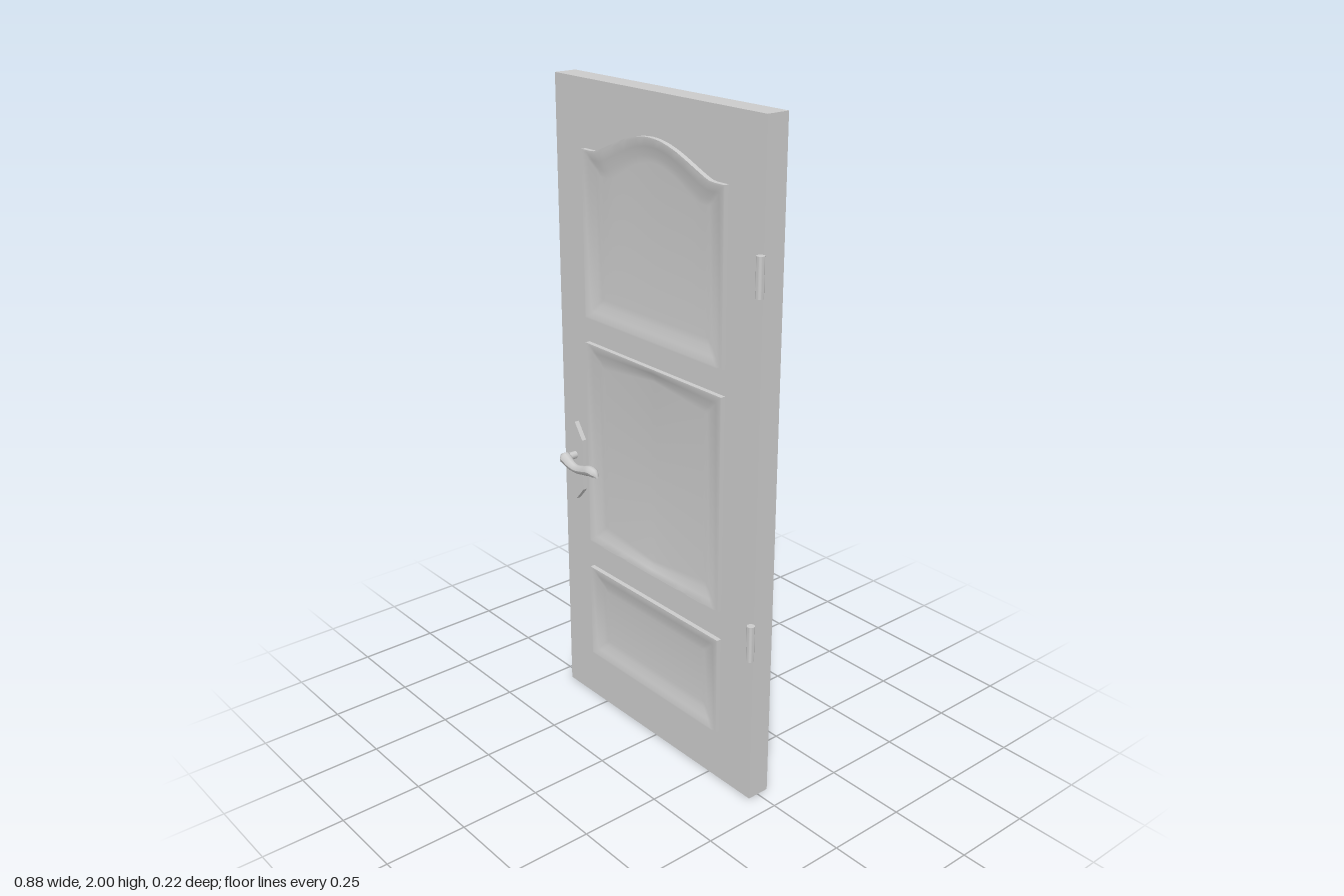
import * as THREE from 'three';
import { toCreasedNormals } from 'three/addons/utils/BufferGeometryUtils.js';

const MID_Z = -0.002;          // middle plane of the door
const HALF_T = 0.036;          // half thickness of the slab
const material = new THREE.MeshStandardMaterial({ color: 0xcccccc });

function part(name, geometry, x = 0, y = 0, z = 0) {
  const mesh = new THREE.Mesh(geometry, material);
  mesh.name = name;
  mesh.position.set(x, y, z);
  return mesh;
}

// Raised moulding with a sloped border sinking to a flat field.
// rise(x) lifts the top edge; pinch narrows the border towards the middle.
function panelGeometry(bottom, top, rise, pinch) {
  const N = 32, halfW = 0.3;
  // [inset, height] from the outer wall to the field
  const profile = [[0, HALF_T - 0.004], [0, 0.051], [0.006, 0.051], [0.026, 0.046], [0.05, 0.0395], [0.07, 0.0375]];
  const count = 2 * N + 2;
  const pos = [], index = [];
  for (const [inset, z] of profile) {
    for (let j = 0; j < count; j++) {
      const isTop = j > N;
      const u = (isTop ? count - 1 - j : j) / N * 2 - 1;
      const x = u * (halfW - inset);
      const dy = inset * (1 - pinch * (1 - Math.abs(u)));
      pos.push(x, isTop ? top + rise(u * halfW) - dy : bottom + dy, z);
    }
  }
  for (let k = 0; k < profile.length - 1; k++) {
    for (let j = 0; j < count; j++) {
      const a = k * count + j, b = k * count + (j + 1) % count;
      index.push(a, b, b + count, a, b + count, a + count);
    }
  }
  // flat field
  const last = (profile.length - 1) * count;
  for (let i = 0; i < N; i++) {
    const a = last + i, d = last + count - 1 - i;
    index.push(a, a + 1, d - 1, a, d - 1, d);
  }
  const g = new THREE.BufferGeometry();
  g.setAttribute('position', new THREE.Float32BufferAttribute(pos, 3));
  g.setIndex(index);
  return toCreasedNormals(g, 0.7);
}

// Arch: short flat shoulders, then a rounded crown
function archRise(x) {
  const t = Math.max(0, 1 - Math.abs(x) / 0.25);
  return 0.076 * Math.pow(Math.sin(t * Math.PI / 2), 1.25);
}

// Tube whose radius follows a list of evenly spaced values
function taperedTube(points, radii, segments, sides) {
  const curve = new THREE.CatmullRomCurve3(points.map(p => new THREE.Vector3(...p)));
  const g = new THREE.TubeGeometry(curve, segments, 1, sides);
  const p = g.attributes.position, v = new THREE.Vector3();
  for (let i = 0; i <= segments; i++) {
    const c = curve.getPointAt(i / segments);
    const f = i / segments * (radii.length - 1);
    const k = Math.min(Math.floor(f), radii.length - 2);
    const r = THREE.MathUtils.lerp(radii[k], radii[k + 1], f - k);
    for (let s = 0; s <= sides; s++) {
      const n = i * (sides + 1) + s;
      v.fromBufferAttribute(p, n).sub(c).multiplyScalar(r).add(c);
      p.setXYZ(n, v.x, v.y, v.z);
    }
  }
  g.computeVertexNormals();
  return g;
}

// Lever handle on an elongated six-sided plate
function makeHandle() {
  const handle = new THREE.Group();
  const plate = new THREE.Shape([
    [0, -0.13], [0.036, -0.088], [0.036, 0.078], [0, 0.13], [-0.036, 0.078], [-0.036, -0.088],
  ].map(p => new THREE.Vector2(...p)));
  handle.add(part('handlePlate',
    new THREE.ExtrudeGeometry(plate, { depth: 0.017, bevelEnabled: false }), -0.371, 0.825, 0.034));

  const stem = new THREE.CylinderGeometry(0.012, 0.012, 0.045, 10);
  stem.rotateX(Math.PI / 2);
  handle.add(part('handleStem', stem, -0.371, 0.845, 0.07));

  const z = 0.093;
  handle.add(part('handleLever', taperedTube(
    [[-0.389, 0.85, z], [-0.365, 0.846, z], [-0.34, 0.834, z], [-0.31, 0.829, z],
      [-0.27, 0.837, z], [-0.24, 0.845, z], [-0.218, 0.842, z], [-0.205, 0.832, z]],
    [0.003, 0.019, 0.017, 0.015, 0.0135, 0.0135, 0.014, 0.0155, 0.016, 0.014, 0.002], 40, 10)));
  return handle;
}

export function createModel() {
  const door = new THREE.Group();
  door.name = 'door';

  door.add(part('slab', new THREE.BoxGeometry(0.871, 2, HALF_T * 2), -0.0075, 1, MID_Z));

  // Both faces carry the same panels and handle
  const flat = () => 0;
  const panels = {
    upperPanel: panelGeometry(1.307, 1.805, archRise, 0),
    middlePanel: panelGeometry(0.572, 1.23, flat, 0.4),
    lowerPanel: panelGeometry(0.165, 0.48, flat, 0),
  };
  for (const side of [1, -1]) {
    const label = side > 0 ? 'front' : 'back';
    for (const [name, geometry] of Object.entries(panels)) {
      const panel = part(`${label} ${name}`, geometry, -0.006, 0, MID_Z);
      if (side < 0) panel.rotation.y = Math.PI;
      door.add(panel);
    }
    const handle = makeHandle();
    handle.name = `${label} handle`;
    handle.position.z = MID_Z;
    handle.scale.z = side;
    door.add(handle);
  }

  // Hinge barrels on the front left edge
  for (const [name, y] of [['upperHinge', 1.594], ['lowerHinge', 0.532]]) {
    door.add(part(name, toCreasedNormals(new THREE.CylinderGeometry(0.0115, 0.0115, 0.112, 20), 0.7), 0.429, y, 0.046));
  }
  return door;
}
